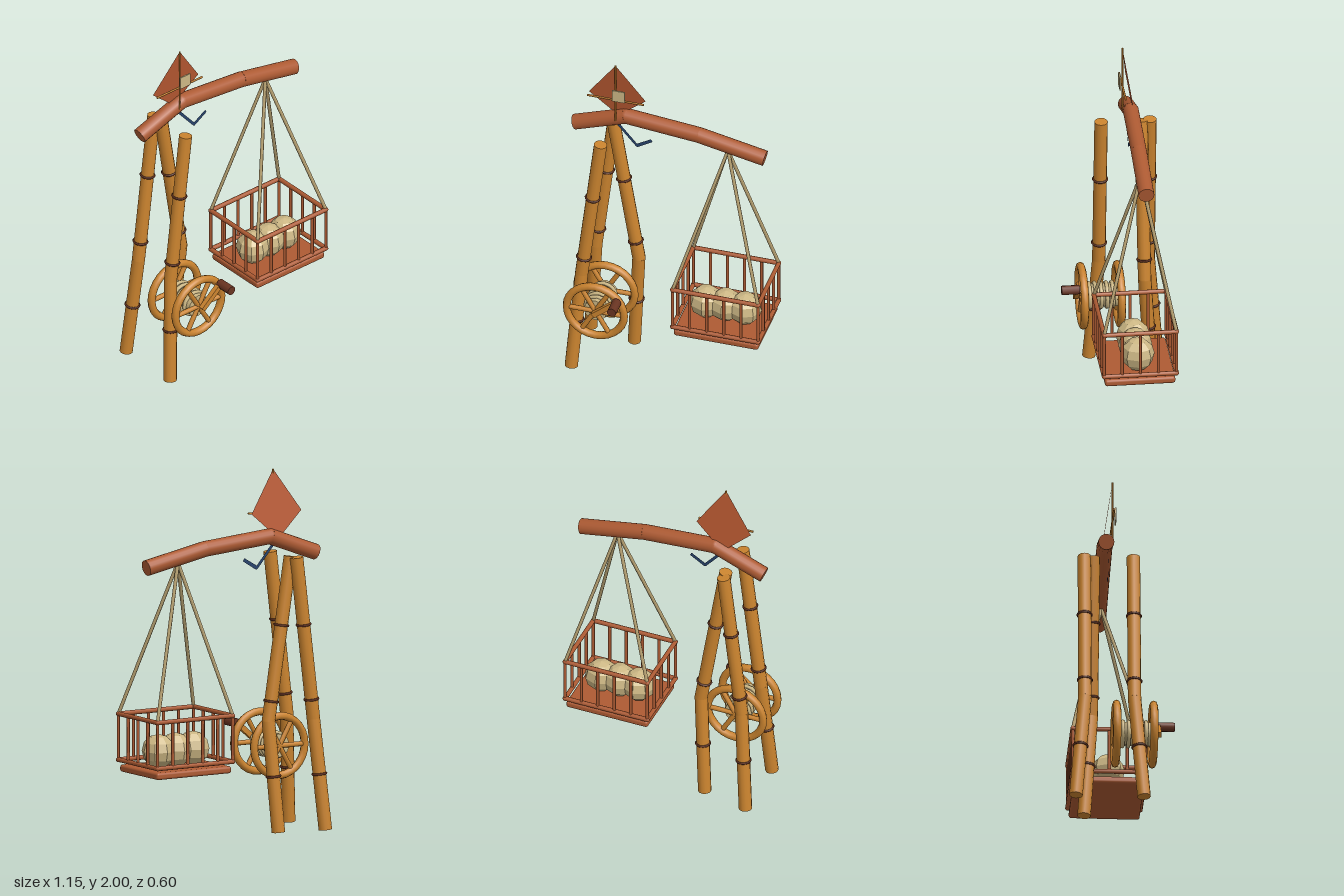
import * as THREE from 'three';
import { RoundedBoxGeometry } from 'three/addons/geometries/RoundedBoxGeometry.js';

const V = (x, y, z) => new THREE.Vector3(x, y, z);

export function createModel() {
  const model = new THREE.Group();
  const mat = (name, color, side = THREE.FrontSide) =>
    Object.assign(new THREE.MeshStandardMaterial({ color, side }), { name });
  const bamboo = mat('bamboo', 0xcb842f);
  const lashing = mat('dark lashing', 0x5a2c1c);
  const wood = mat('red wood', 0xae5b33);
  const cream = mat('cream', 0xcdb885);
  const ropeMat = mat('rope', 0xb8a272);
  const cloth = mat('kite cloth', 0xba5a32, THREE.DoubleSide);
  const grip = mat('crank grip', 0x6a3522);
  const blue = mat('blue ribbon', 0x27436b, THREE.DoubleSide);

  const group = (name, parent = model) => {
    const g = new THREE.Group();
    g.name = name;
    parent.add(g);
    return g;
  };
  const add = (parent, name, geo, material, pos) => {
    const m = new THREE.Mesh(geo, material);
    m.name = name;
    if (pos) m.position.copy(pos);
    parent.add(m);
    return m;
  };
  const up = V(0, 1, 0);
  // round bar between two points
  const rod = (parent, name, a, b, r, material, sides = 8) => {
    const d = b.clone().sub(a);
    const m = add(parent, name, new THREE.CylinderGeometry(r, r, d.length(), sides), material,
      a.clone().add(b).multiplyScalar(0.5));
    m.quaternion.setFromUnitVectors(up, d.normalize());
    return m;
  };
  // bent bar with rounded elbows
  const bentBar = (parent, name, pts, r, material, sides) => {
    for (let i = 1; i < pts.length; i++) {
      rod(parent, name, pts[i - 1], pts[i], r, material, sides);
      if (i < pts.length - 1) add(parent, name + 'Elbow', new THREE.SphereGeometry(r, 12, 8), material, pts[i]);
    }
  };

  // three bent bamboo legs with lashings
  const legs = [
    ['frontLeg', V(-0.523, 0.005, 0.115), V(-0.478, 0.62, 0.065), V(-0.37, 1.525, 0.065)],
    ['backLeftLeg', V(-0.255, 0.005, -0.2), V(-0.217, 0.62, -0.158), V(-0.362, 1.525, -0.155)],
    ['backRightLeg', V(-0.523, 0.005, -0.26), V(-0.478, 0.62, -0.208), V(-0.37, 1.525, -0.205)],
  ];
  for (const [name, foot, knee, top] of legs) {
    const g = group(name);
    bentBar(g, 'bambooPole', [foot, knee, top], 0.037, bamboo, 12);
    for (const y of [0.315, 0.73, 1.148]) {
      const [a, b] = y < knee.y ? [foot, knee] : [knee, top];
      const p = a.clone().lerp(b, (y - a.y) / (b.y - a.y));
      const ring = add(g, 'lashing', new THREE.TorusGeometry(0.038, 0.007, 6, 16), lashing, p);
      ring.quaternion.setFromUnitVectors(V(0, 0, 1), b.clone().sub(a).normalize());
    }
  }

  // crooked top beam
  bentBar(group('beam'), 'beamSection',
    [V(-0.565, 1.525, -0.095), V(-0.27, 1.635, -0.088), V(0.15, 1.598, -0.083), V(0.53, 1.522, -0.08)],
    0.044, wood, 16);

  // winch: two spoked wheels around a rope drum
  const winch = group('winch');
  winch.position.set(-0.368, 0.455, 0);
  for (const z of [0.172, -0.032]) {
    const wheel = group('wheel', winch);
    wheel.position.z = z;
    add(wheel, 'rim', new THREE.TorusGeometry(0.165, 0.022, 8, 28), bamboo);
    for (let i = 0; i < 3; i++) {
      const a = i * Math.PI / 3, c = V(Math.cos(a) * 0.16, Math.sin(a) * 0.16, 0);
      rod(wheel, 'spoke', c.clone().negate(), c, 0.014, bamboo);
    }
  }
  rod(winch, 'drum', V(0, 0, -0.03), V(0, 0, 0.17), 0.066, cream, 12);
  for (let i = 0; i < 5; i++)
    add(winch, 'ropeCoil', new THREE.TorusGeometry(0.068, 0.012, 6, 16), cream, V(0, 0, 0.005 + i * 0.032));

  // crank arm and grip
  const arm = add(winch, 'crankArm', new THREE.BoxGeometry(0.17, 0.03, 0.028), bamboo, V(0.062, 0.052, 0.206));
  arm.rotation.z = Math.atan2(0.11, 0.13);
  rod(winch, 'crankGrip', V(0.131, 0.108, 0.2), V(0.131, 0.108, 0.3), 0.026, grip, 10);

  // hanging basket
  const basket = group('basket');
  basket.position.set(0.315, 0, -0.043);
  const hx = 0.245, hz = 0.2, low = 0.43, high = 0.685;
  add(basket, 'base', new RoundedBoxGeometry(0.486, 0.04, 0.39, 2, 0.014), wood, V(0, 0.384, 0));
  for (const y of [low, high]) {
    for (const s of [-1, 1]) {
      rod(basket, 'longRail', V(-hx, y, s * hz), V(hx, y, s * hz), 0.013, wood);
      rod(basket, 'shortRail', V(s * hx, y, -hz), V(s * hx, y, hz), 0.013, wood);
      for (const t of [-1, 1])
        add(basket, 'railCorner', new THREE.SphereGeometry(0.014, 8, 6), wood, V(s * hx, y, t * hz));
    }
  }
  for (const s of [-1, 1]) {
    for (let i = 0; i < 6; i++) {
      const x = hx * (i / 2.5 - 1);
      rod(basket, 'bar', V(x, low, s * hz), V(x, high, s * hz), 0.009, wood, 6);
    }
    for (let i = 1; i < 4; i++) {
      const z = hz * (i / 2 - 1);
      rod(basket, 'sideBar', V(s * hx, low, z), V(s * hx, high, z), 0.009, wood, 6);
    }
    for (const t of [-1, 1])
      rod(basket, 'rope', V(s * hx, high, t * hz), V(0.004, 1.535, -0.03), 0.01, ropeMat, 6);
  }

  // faceted round cargo
  const ball = new THREE.SphereGeometry(0.094, 8, 6).toNonIndexed();
  ball.computeVertexNormals();
  for (const x of [-0.112, 0, 0.112]) add(basket, 'cargoBall', ball, cream, V(x, 0.493, 0));

  // kite: leaning sheet, cross sticks and patch
  const kite = group('kite');
  kite.position.set(-0.318, 2, -0.047);
  const sheet = new THREE.Shape([[0, 0], [-0.162, -0.238], [0, -0.385], [0.162, -0.238]]
    .map(([x, y]) => new THREE.Vector2(x, y)));
  add(kite, 'sheet', new THREE.ShapeGeometry(sheet), cloth).rotation.x = 0.145;
  rod(kite, 'spine', V(0, 0, 0), V(0, -0.38, 0), 0.005, bamboo, 6);
  rod(kite, 'crossStick', V(-0.162, -0.236, 0), V(0.162, -0.236, 0), 0.006, bamboo, 6);
  add(kite, 'patch', new THREE.BoxGeometry(0.073, 0.073, 0.008), cream, V(0.022, -0.195, 0.018));

  // flat ribbon tail
  const ribbon = new THREE.Shape([[-0.33, 1.6], [-0.205, 1.455], [-0.195, 1.452], [-0.11, 1.505],
    [-0.12, 1.522], [-0.2, 1.474], [-0.312, 1.605]].map(([x, y]) => new THREE.Vector2(x, y)));
  add(model, 'ribbonTail', new THREE.ShapeGeometry(ribbon), blue, V(0, 0, -0.065));

  return model;
}
